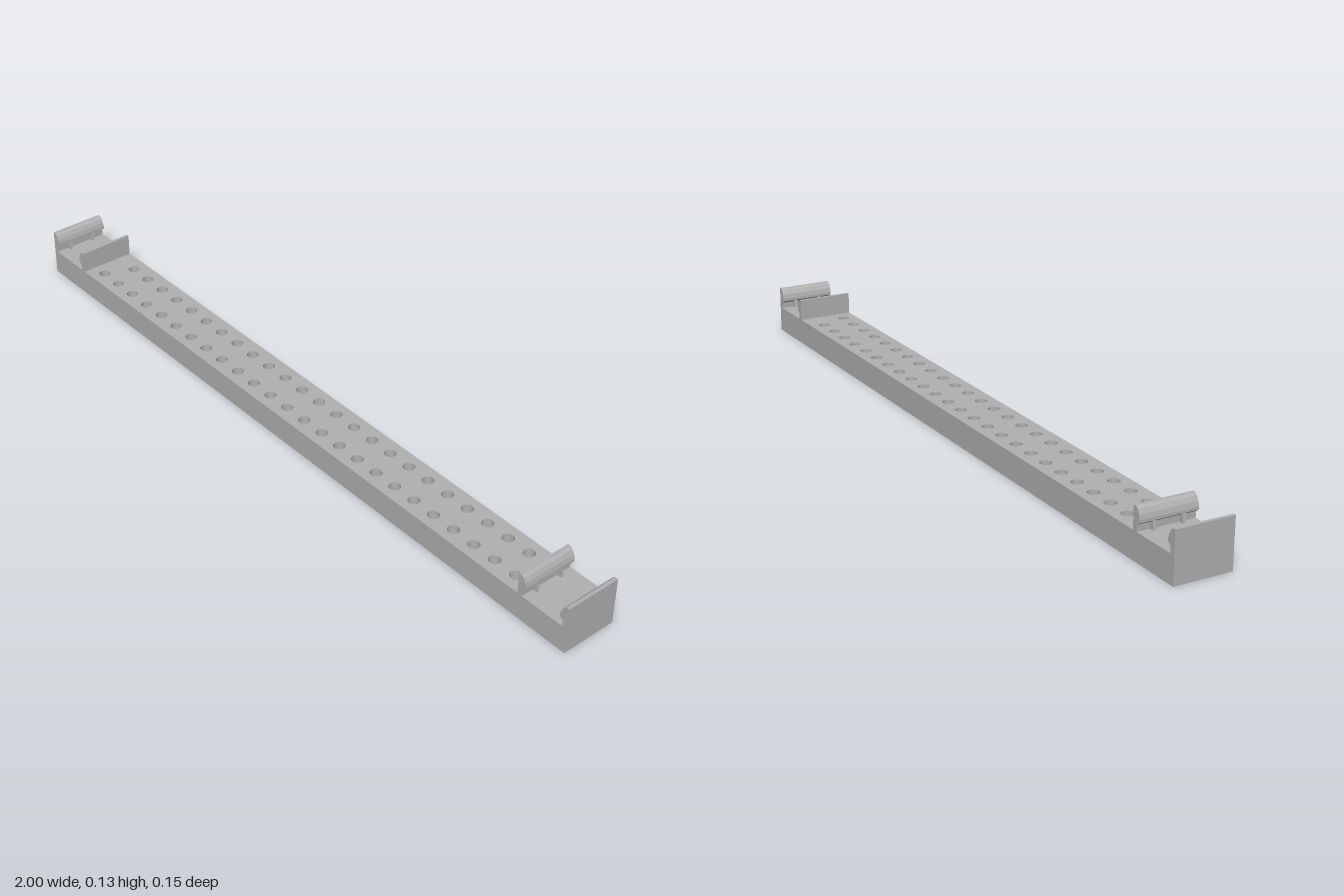
import * as THREE from 'three';

const HALF_DEPTH = 0.076, BAR_HEIGHT = 0.07, TOP = 0.128;

// Extrude a closed outline along z, centred on z = 0
function extrudeProfile(points, depth) {
  const shape = new THREE.Shape(points.map(([x, y]) => new THREE.Vector2(x, y)));
  const geometry = new THREE.ExtrudeGeometry(shape, { depth, bevelEnabled: false });
  return geometry.translate(0, 0, -depth / 2);
}

// Bar drilled through by two staggered rows of round holes
function createBar(material) {
  const shape = new THREE.Shape([
    new THREE.Vector2(-1, -HALF_DEPTH), new THREE.Vector2(1, -HALF_DEPTH),
    new THREE.Vector2(1, HALF_DEPTH), new THREE.Vector2(-1, HALF_DEPTH),
  ]);
  const pitch = 0.0673, radius = 0.0155;
  for (const { count, z } of [{ count: 24, z: -0.038 }, { count: 25, z: 0.038 }]) {
    for (let i = 0; i < count; i++) {
      const hole = new THREE.Path();
      hole.absarc((i - (count - 1) / 2) * pitch, -z, radius, 0, Math.PI * 2, true);
      shape.holes.push(hole);
    }
  }
  const geometry = new THREE.ExtrudeGeometry(shape, {
    depth: BAR_HEIGHT, bevelEnabled: false, curveSegments: 10,
  });
  geometry.rotateX(-Math.PI / 2);
  const bar = new THREE.Mesh(geometry, material);
  bar.name = 'perforatedBar';
  return bar;
}

// Snap clip: flat back at x = 0, hook towards +x, small ribs under the hook
function createClip(material) {
  const clip = new THREE.Group();
  const wall = new THREE.Mesh(extrudeProfile([
    [0, BAR_HEIGHT - 0.002], [0.014, BAR_HEIGHT - 0.002], [0.014, 0.086],
    [0.024, 0.093], [0.024, 0.1], [0.021, 0.112], [0.015, 0.123], [0.009, TOP], [0, TOP],
  ], HALF_DEPTH * 2), material);
  wall.name = 'clipWall';
  clip.add(wall);
  const ribGeometry = extrudeProfile([
    [0.012, BAR_HEIGHT - 0.002], [0.027, BAR_HEIGHT - 0.002], [0.023, 0.095], [0.012, 0.095],
  ], 0.008);
  for (const z of [-0.038, 0.038]) {
    const rib = new THREE.Mesh(ribGeometry, material);
    rib.name = 'clipRib';
    rib.position.z = z;
    clip.add(rib);
  }
  return clip;
}

export function createModel() {
  const grey = new THREE.MeshStandardMaterial({ color: 0xb0b0b0 });
  grey.name = 'grey';
  const model = new THREE.Group();
  model.name = 'clipOnPerforatedBar';
  model.add(createBar(grey));

  // A pair of facing clips at each end
  const clips = [
    ['rightOuterClip', -1, false], ['rightInnerClip', -0.85, true],
    ['leftInnerClip', 0.85, false], ['leftOuterClip', 1, true],
  ];
  for (const [name, x, turned] of clips) {
    const clip = createClip(grey);
    clip.name = name;
    clip.position.x = x;
    if (turned) clip.rotation.y = Math.PI;
    model.add(clip);
  }
  return model;
}
